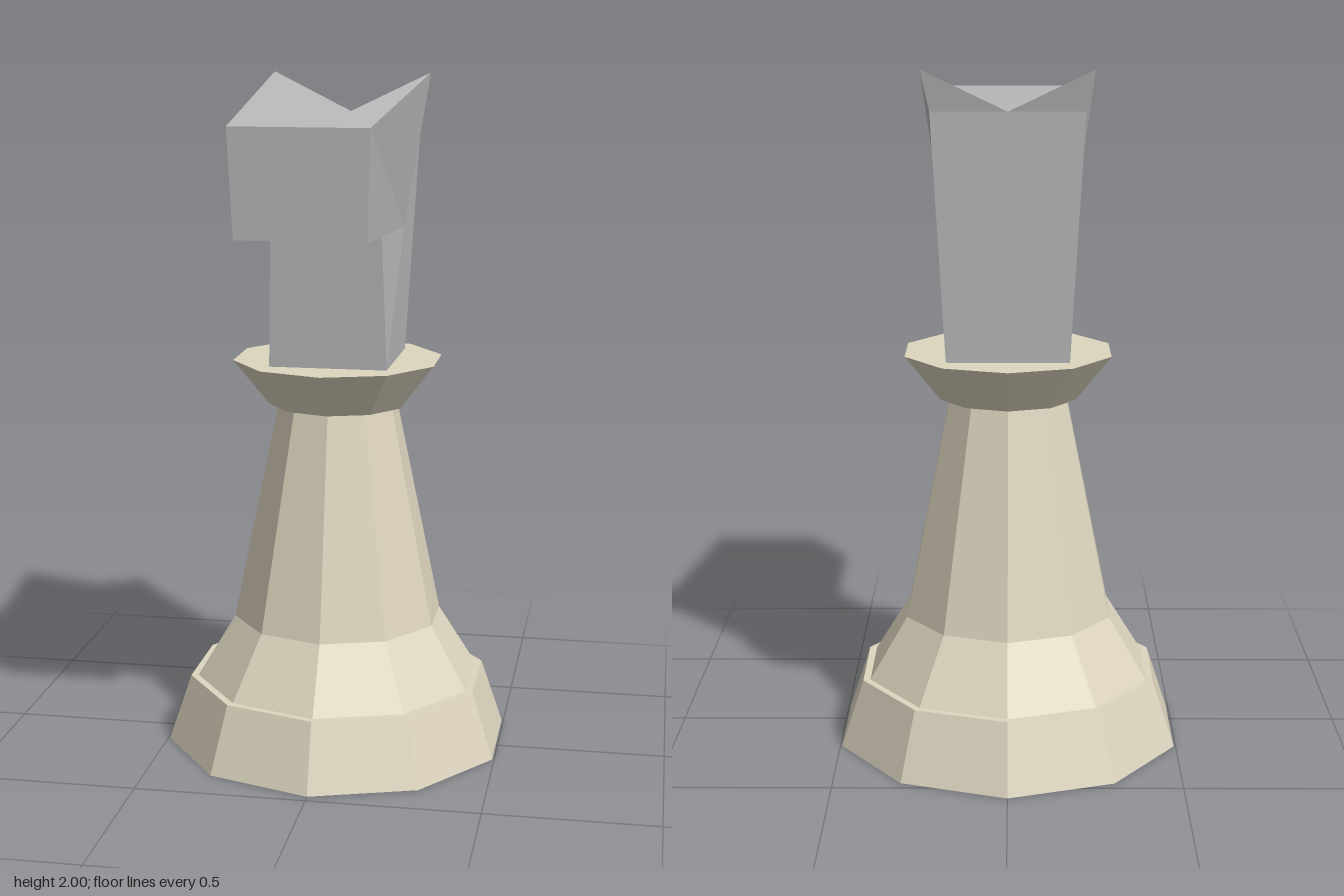
import * as THREE from 'three';

const CENTER_Z = -0.048; // axis of the turned base

// Ten-sided turned solid from a [radius, y] profile, with faceted normals
function turned(name, profile, material) {
  const pts = profile.map(([r, y]) => new THREE.Vector2(r, y));
  const geo = new THREE.LatheGeometry(pts, 10).toNonIndexed();
  geo.computeVertexNormals();
  const mesh = new THREE.Mesh(geo, material);
  mesh.name = name;
  mesh.position.z = CENTER_Z;
  return mesh;
}

const mirror = ([x, y, z]) => [-x, y, z];

// Flat polygons, each fanned from its first corner
function facets(name, polygons, material) {
  const pos = [];
  for (const p of polygons) {
    for (let i = 1; i < p.length - 1; i++) pos.push(...p[0], ...p[i], ...p[i + 1]);
  }
  const geo = new THREE.BufferGeometry();
  geo.setAttribute('position', new THREE.Float32BufferAttribute(pos, 3));
  geo.computeVertexNormals();
  const mesh = new THREE.Mesh(geo, material);
  mesh.name = name;
  return mesh;
}

export function createModel() {
  const cream = new THREE.MeshStandardMaterial({ color: 0xddd5bf });
  cream.name = 'cream';
  const grey = new THREE.MeshStandardMaterial({ color: 0xbababa });
  grey.name = 'grey';

  const model = new THREE.Group();
  model.name = 'chessPiece';

  // Turned base, tapering column and collar
  model.add(
    turned('foot', [[0, 0], [0.52, 0], [0.452, 0.2], [0.43, 0.2]], cream),
    turned('column', [[0.43, 0.2], [0.315, 0.385], [0.179, 1.04]], cream),
    turned('collar', [[0.17, 1.04], [0.206, 1.04], [0.313, 1.175], [0, 1.175]], cream),
  );

  // Corners of the head on the +x side
  const browFront = [0.19, 1.895, 0.567];
  const chinFront = [0.18, 1.595, 0.545];
  const jaw = [0.186, 1.56, -0.117];
  const throat = [0.16, 1.574, 0.16];
  const neckFront = [0.172, 1.175, 0.13];
  const neckBack = [0.176, 1.175, -0.225];
  const nape = [0.214, 1.885, -0.275];
  const ear = [0.238, 2, -0.3];
  const notch = [0, 1.885, -0.275];

  // Side, jaw flap and back of the ear, repeated on both sides
  const half = [
    [jaw, throat, neckFront, neckBack, nape, ear, browFront, chinFront],
    [chinFront, throat, jaw],
    [nape, notch, ear],
  ];
  const otherHalf = half.map((p) => [p[0], ...p.slice(1).reverse()].map(mirror));

  // Faces that span both sides: muzzle, throat, underside, back of the neck
  const across = [
    [browFront, chinFront],
    [throat, neckFront],
    [chinFront, throat],
    [neckBack, nape],
  ].map(([a, b]) => [a, mirror(a), mirror(b), b]);

  const head = new THREE.Group();
  head.name = 'head';
  head.add(facets('headAndNeck', [...half, ...otherHalf, ...across], grey));

  // Notched top, shaded as a single plane
  const crown = facets('crown', [[notch, mirror(ear), mirror(browFront), browFront, ear]], grey);
  const normals = crown.geometry.attributes.normal;
  for (let i = 0; i < normals.count; i++) normals.setXYZ(i, 0, 0.996, 0.09);
  head.add(crown);
  model.add(head);

  return model;
}
